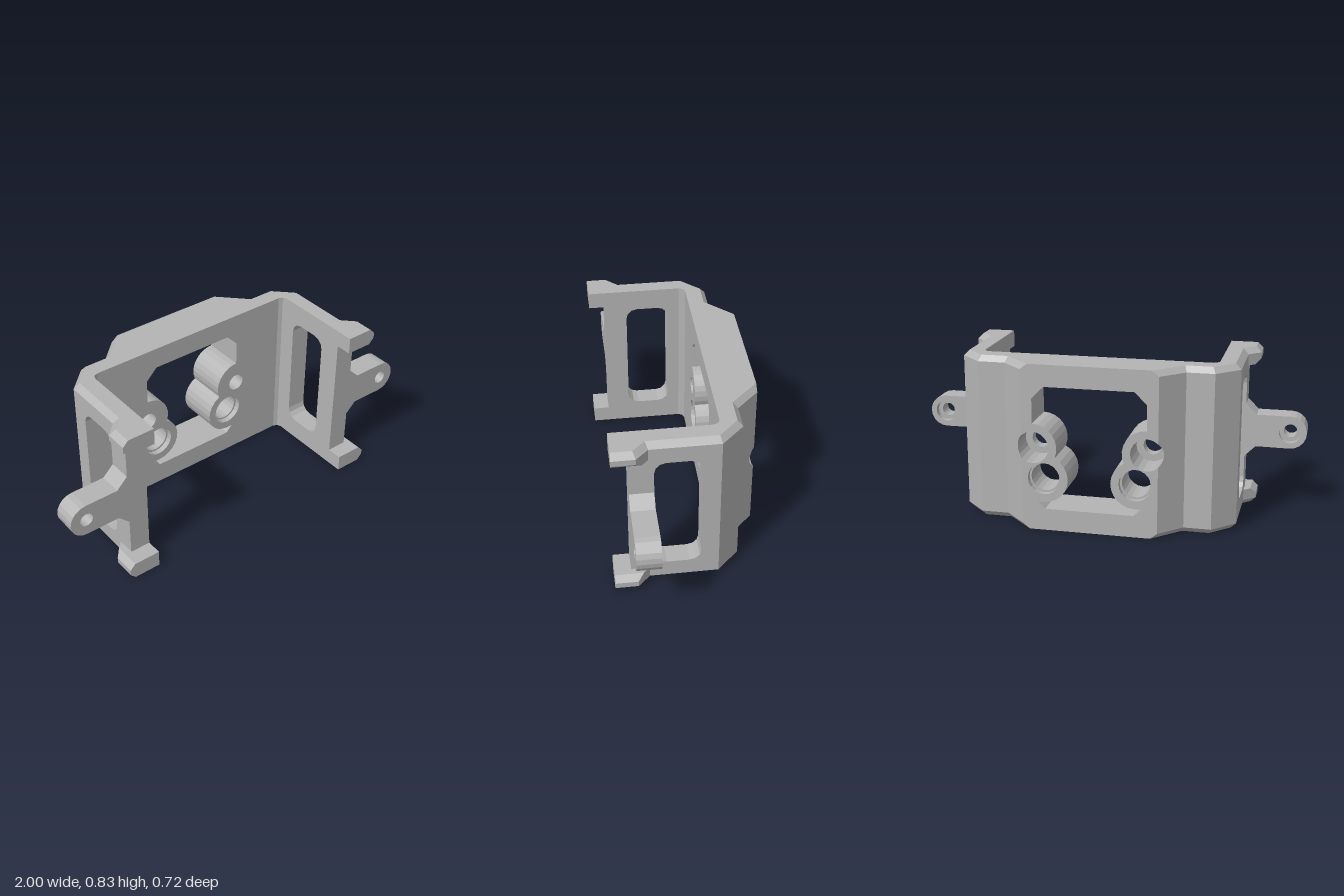
import * as THREE from 'three';

const H = 0.833, C = 0.028;            // height and edge chamfer
const FRONT = -0.145, BACK = -0.36;    // back wall faces

// Flat-shaded copy with outward winding (sign of the enclosed volume)
function finish(geo) {
  const g = geo.index ? geo.toNonIndexed() : geo;
  const p = g.attributes.position, a = new THREE.Vector3(), b = new THREE.Vector3(), c = new THREE.Vector3();
  let vol = 0;
  for (let i = 0; i < p.count; i += 3) {
    a.fromBufferAttribute(p, i); b.fromBufferAttribute(p, i + 1); c.fromBufferAttribute(p, i + 2);
    vol += a.dot(b.cross(c));
  }
  if (vol < 0) for (let i = 0; i < p.count; i += 3) {
    b.fromBufferAttribute(p, i + 1); c.fromBufferAttribute(p, i + 2);
    p.setXYZ(i + 1, c.x, c.y, c.z); p.setXYZ(i + 2, b.x, b.y, b.z);
  }
  g.deleteAttribute('uv');
  g.computeVertexNormals();
  return g;
}

function arc(cx, cy, r, a0, a1, n) {
  return Array.from({ length: n + 1 }, (_, i) => {
    const a = a0 + (a1 - a0) * i / n;
    return [cx + r * Math.cos(a), cy + r * Math.sin(a)];
  });
}
const circle = (cx, cy, r) => arc(cx, cy, r, 0, Math.PI * 2, 20).slice(0, -1);
const flip = pts => pts.map(([x, y]) => [-x, y]).reverse();
const vec = pts => pts.map(([x, y]) => new THREE.Vector2(x, y));

// Outline with holes extruded from z0 to z1; rule reshapes the back end
function slab(outline, holes, z0, z1, rule) {
  const s = new THREE.Shape(vec(outline));
  s.holes = holes.map(h => new THREE.Path(vec(h)));
  const g = new THREE.ExtrudeGeometry(s, { depth: z1 - z0, bevelEnabled: false });
  const p = g.attributes.position;
  for (let i = 0; i < p.count; i++) {
    const back = p.getZ(i) < 1e-6;
    p.setZ(i, back && rule ? rule(p.getX(i), p.getY(i)) : p.getZ(i) + z0);
  }
  return g;
}

// Solid skinned through stacked [y, points in x and z] rings
function loft(rings) {
  const n = rings[0][1].length, pos = [], idx = [];
  for (const [y, pts] of rings) for (const [x, z] of pts) pos.push(x, y, z);
  for (let r = 0; r < rings.length - 1; r++) for (let i = 0; i < n; i++) {
    const j = (i + 1) % n, a = r * n + i, b = r * n + j;
    idx.push(a, a + n, b, b, a + n, b + n);
  }
  const cap = (r, rev) => {
    const contour = vec(rings[r][1]);
    const up = THREE.ShapeUtils.isClockWise(contour);
    const side = idx.length;
    for (const [a, b, c] of THREE.ShapeUtils.triangulateShape(contour, [])) {
      // keep each cap wound consistently with the walls
      const A = contour[a], B = contour[b], D = contour[c];
      const cw = (B.x - A.x) * (D.y - A.y) - (B.y - A.y) * (D.x - A.x) < 0;
      const same = cw === up;
      if (same !== rev) idx.push(r * n + a, r * n + b, r * n + c);
      else idx.push(r * n + a, r * n + c, r * n + b);
    }
    return side;
  };
  cap(0, false);
  cap(rings.length - 1, true);
  const g = new THREE.BufferGeometry();
  g.setAttribute('position', new THREE.Float32BufferAttribute(pos, 3));
  g.setIndex(idx);
  return g;
}

export function createModel() {
  const model = new THREE.Group();
  model.name = 'bracket';
  const grey = new THREE.MeshStandardMaterial({ color: 0xb4b4b4 });
  grey.name = 'grey';

  const add = (name, geo) => {
    const m = new THREE.Mesh(finish(geo), grey);
    m.name = name;
    model.add(m);
  };
  const addPair = (name, geo) => {
    const other = geo.clone().scale(-1, 1, 1);
    add(name + 'Left', geo);
    add(name + 'Right', other);
  };

  // Central window, its edge wrapping round the two bosses on each side
  const PI = Math.PI, ux = 0.28, uy = 0.42, lx = 0.225, ly = 0.265;
  const half = [
    [0.22, 0.11], [0.255, 0.145],
    ...arc(lx, ly, 0.12, -PI / 2, -4.237, 10),
    ...arc(ux, uy, 0.12, -2.73, -1.5 * PI, 8).slice(1),
    [0.28, 0.665], [0.22, 0.725],
  ];
  const opening = [...half, ...flip(half)];
  const both = pts => [pts, flip(pts)];
  const pin = both(circle(ux, uy, 0.045));
  const bore = both(circle(lx, ly, 0.07)), recess = both(circle(lx, ly, 0.08));

  // Back wall: front layers with pin holes and recessed bores
  const plateEnd = [[0.435, 0], [0.445, C], [0.445, H - C], [0.435, H]];
  const plate = [...plateEnd, ...flip(plateEnd)];
  add('backWallFront', slab(plate, [opening, ...pin, ...recess], -0.175, FRONT));
  add('backWallMiddle', slab(plate, [opening, ...pin, ...bore], -0.2, -0.175));

  // Raised rear panel, notched by the wide counterbores
  const notch = 0.812;
  const rearEnd = [
    [0.3, 0], [0.335, C],
    ...arc(ux, uy, 0.08, -notch, notch - 2 * PI, 14),
    [0.335, H - C], [0.3, H],
  ];
  const rear = [...rearEnd, ...flip(rearEnd)];
  add('rearPanel', slab(rear, [opening, ...bore], -0.33, -0.2));
  add('rearPanelFace', slab(rear, [opening, ...recess], BACK, -0.33));

  // Sloping flanks of the rear panel with chamfered ends
  const slope = (x, y) => {
    const t = Math.max(0, (C - y) / C, (y - H + C) / C);
    return BACK + Math.max(0, x - 0.335 + 0.035 * t);
  };
  addPair('rearSlope', slab([
    [0.335, C], [0.445, C], [0.445, H - C], [0.335, H - C],
    ...arc(ux, uy, 0.08, notch, -notch, 6),
  ], [], -0.2, -0.2 + 0.001, slope));
  const edge = [[0.3, 0], [0.435, 0], [0.445, C], [0.335, C]];
  addPair('slopeChamferBottom', slab(edge, [], -0.2, -0.199, slope));
  addPair('slopeChamferTop', slab(edge.map(([x, y]) => [x, H - y]).reverse(), [], -0.2, -0.199, slope));

  // Angled shoulders joining wall and arms, with a small inner fillet
  const inner = [[0.585, -0.115], [0.576, -0.136], [0.555, FRONT], [0.43, FRONT]];
  const shoulder = [...inner, [0.445, -0.25], [0.58, -0.25], [0.69, -0.14], [0.69, -0.115]];
  const shoulderIn = [...inner, [0.435, -0.225], [0.568, -0.225], [0.662, -0.131], [0.662, -0.115]];
  addPair('shoulder', loft([[0, shoulderIn], [C, shoulder], [H - C, shoulder], [H, shoulderIn]]));

  // Side arms with a long rounded slot
  const r = 0.055, z0 = -0.055, z1 = 0.165, y0 = 0.112, y1 = 0.722;
  const slot = [
    ...arc(z1 - r, y0 + r, r, -PI / 2, 0, 3), ...arc(z1 - r, y1 - r, r, 0, PI / 2, 3),
    ...arc(z0 + r, y1 - r, r, PI / 2, PI, 3), ...arc(z0 + r, y0 + r, r, PI, 1.5 * PI, 3),
  ];
  const arm = slab([[-0.115, C], [0.28, C], [0.28, H - C], [-0.115, H - C]], [slot], 0, 0.105);
  const p = arm.attributes.position;
  for (let i = 0; i < p.count; i++) p.setXYZ(i, 0.585 + p.getZ(i), p.getY(i), p.getX(i));
  addPair('arm', arm);

  // Chamfered arm edges and hooked feet, at the bottom and the top
  const strip = x => [[0.585, -0.115], [x, -0.115], [x, 0.205], [0.585, 0.205]];
  const foot = [[0.585, 0.19], [0.69, 0.19], [0.75, 0.25], [0.75, 0.36], [0.585, 0.36]];
  const footLow = [[0.585, 0.19], [0.662, 0.202], [0.722, 0.262], [0.722, 0.36], [0.585, 0.36]];
  const footHigh = [[0.585, 0.19], [0.69, 0.19], [0.722, 0.222], [0.722, 0.36], [0.585, 0.36]];
  for (const [end, at] of [['Bottom', y => y], ['Top', y => H - y]]) {
    addPair('armEdge' + end, loft([[at(0), strip(0.662)], [at(C), strip(0.69)]]));
    addPair('foot' + end, loft([[at(0), footLow], [at(C), foot], [at(0.057), foot], [at(0.085), footHigh]]));
  }

  // Mounting ears with a counterbored screw hole
  const ear = [
    [0.65, 0.28], [0.69, 0.28], [0.745, 0.335],
    ...arc(0.915, 0.418, 0.084, -PI / 2, PI / 2, 10),
    [0.745, 0.502], [0.69, 0.556], [0.65, 0.556],
  ];
  addPair('earFront', slab(ear, [circle(0.915, 0.418, 0.034)], 0.2, 0.28));
  addPair('earBack', slab(ear, [circle(0.915, 0.418, 0.056)], 0.165, 0.2));

  return model;
}
